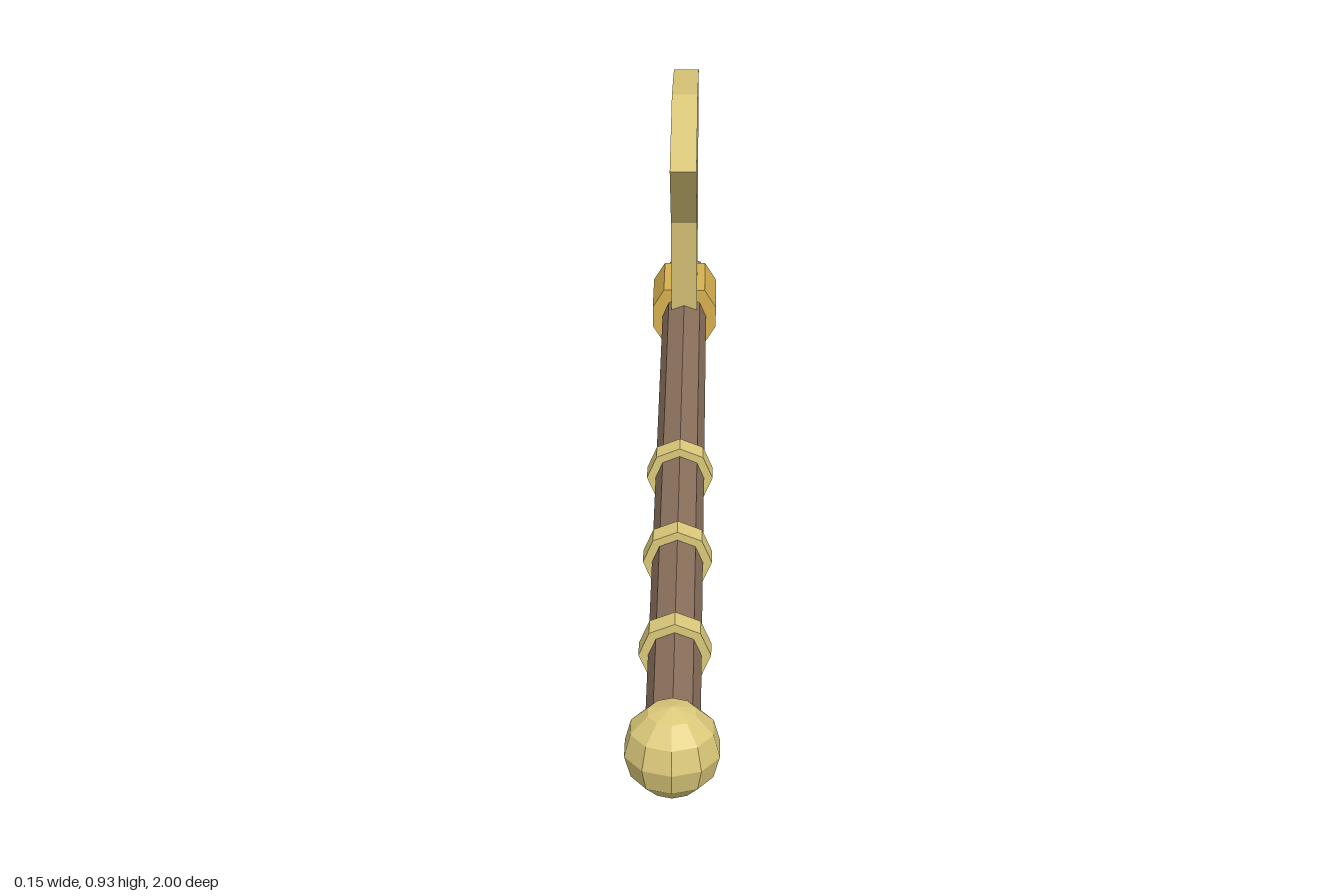
import * as THREE from 'three';

const AXIS_Y = 0.463;
const BLADE_Z = -0.725;

const paint = (color) => new THREE.MeshStandardMaterial({ color, flatShading: true });

const toShape = (points) => new THREE.Shape(points.map(([x, y]) => new THREE.Vector2(x, y)));

// Mirrors one quarter of an outline (top centre to right middle) into a closed loop
function mirrorQuarter(quarter) {
  const right = [...quarter, ...quarter.map(([x, y]) => [x, -y]).reverse()];
  const left = right.map(([x, y]) => [-x, y]).reverse();
  return [...right, ...left].filter(([x, y], i, all) => {
    const [px, py] = all[(i + all.length - 1) % all.length];
    return Math.hypot(x - px, y - py) > 1e-6;
  });
}

// Eight-sided bar lying along z
function bar(radius, length) {
  return new THREE.CylinderGeometry(radius, radius, length, 8).rotateX(Math.PI / 2);
}

export function createModel() {
  const model = new THREE.Group();
  model.name = 'doubleAxe';
  const gold = paint(0xdcc97a);
  const bronze = paint(0xd6b050);
  const wood = paint(0x8a705c);

  const add = (name, geometry, material, z) => {
    const mesh = new THREE.Mesh(geometry, material);
    mesh.name = name;
    mesh.position.set(0, AXIS_Y, z);
    model.add(mesh);
  };

  // Handle from the pommel to just behind the blade
  add('handle', bar(0.045, 1.76), wood, 0.02);

  // Grip rings
  [0.625, 0.318, 0.01].forEach((z, i) => add(`gripRing${i + 1}`, bar(0.061, 0.04), gold, z));

  // Pommel ball, poles up and down
  add('pommel', new THREE.SphereGeometry(0.08, 10, 6).rotateY(Math.PI / 2), gold, 0.92);

  // Double blade: a flat plate with flared upper and lower edges
  const outline = mirrorQuarter([[0, 0.463], [0.274, 0.411], [0.134, 0.241], [0.102, 0]]);
  const blade = new THREE.ExtrudeGeometry(toShape(outline), { depth: 0.052, bevelEnabled: false });
  blade.translate(0, 0, -0.026).rotateY(Math.PI / 2);
  add('blade', blade, gold, BLADE_Z);

  // Faceted clamp holding the blade on the handle
  const section = mirrorQuarter([[0.042, 0.06], [0.065, 0.022]]);
  const clamp = new THREE.ExtrudeGeometry(toShape(section), { depth: 0.134, bevelEnabled: false });
  clamp.translate(0, 0, -0.067);
  add('clamp', clamp, bronze, BLADE_Z);

  return model;
}
